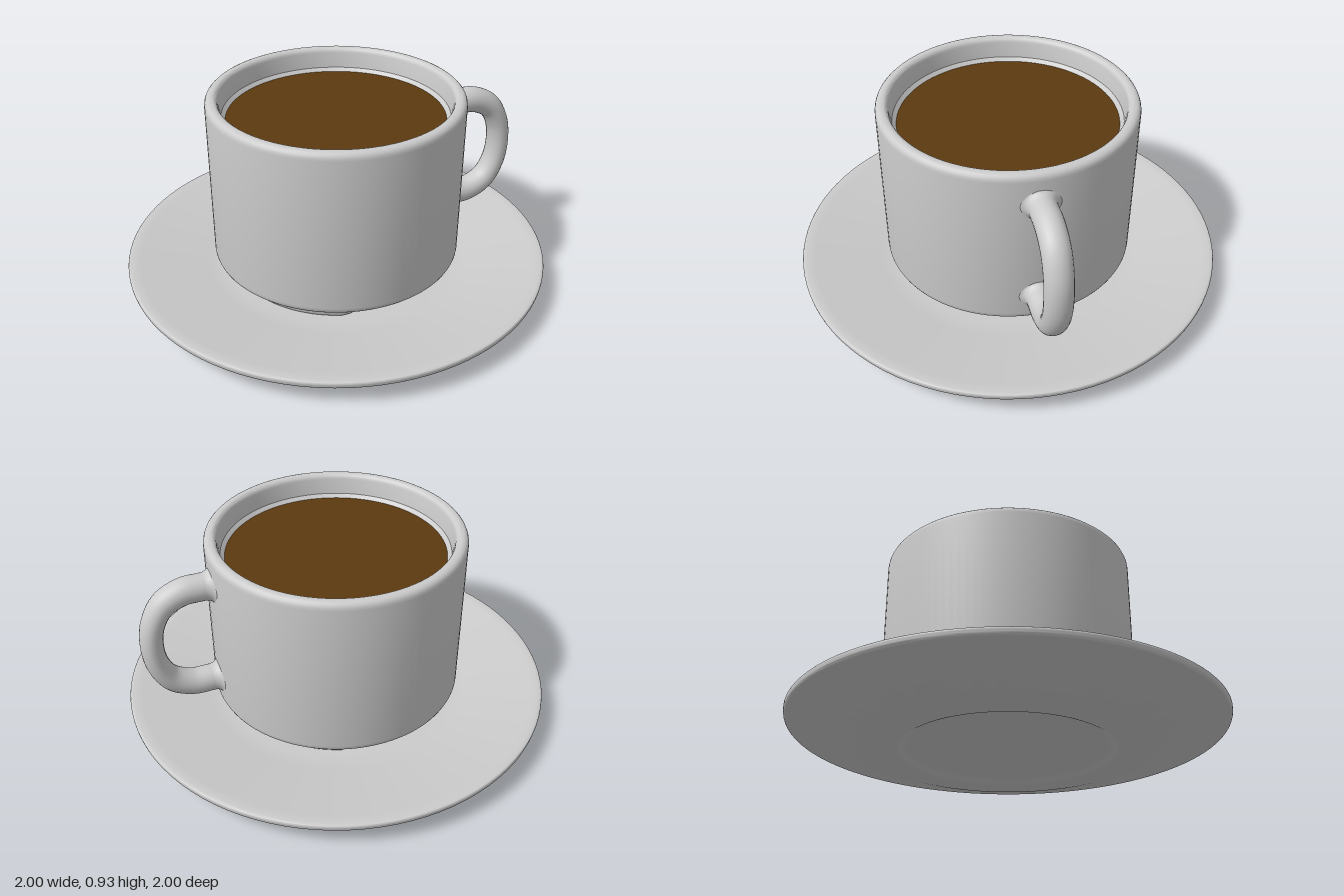
import * as THREE from 'three';
import { toCreasedNormals, mergeVertices } from 'three/addons/utils/BufferGeometryUtils.js';

const grey = new THREE.MeshStandardMaterial({ color: 0xcccccc });
const brown = new THREE.MeshStandardMaterial({ color: 0x5c3a10 });
const SEGMENTS = 96;

// Profile from [radius, y, cornerRounding] points
function roundedProfile(corners, steps = 5) {
  const pts = corners.map(([x, y]) => new THREE.Vector2(x, y));
  const out = [];
  corners.forEach(([, , r = 0], i) => {
    const p = pts[i];
    if (!r) { out.push(p); return; }
    const toward = (q) => p.clone().add(q.clone().sub(p).setLength(r));
    out.push(...new THREE.QuadraticBezierCurve(toward(pts[i - 1]), p, toward(pts[i + 1])).getPoints(steps));
  });
  return out;
}

function lathe(corners) {
  return new THREE.LatheGeometry(roundedProfile(corners), SEGMENTS);
}

function addMesh(group, name, geometry, material = grey) {
  const mesh = new THREE.Mesh(geometry, material);
  mesh.name = name;
  group.add(mesh);
  return mesh;
}

// Saucer: recessed base ring, sloped underside, thin rim, sunken well
function saucerGeometry() {
  return toCreasedNormals(lathe([
    [0, 0.025], [0.46, 0.025, 0.02], [0.5, 0, 0.02], [0.61, 0, 0.025],
    [0.995, 0.1, 0.012], [1, 0.133, 0.014], [0.96, 0.133, 0.02],
    [0.58, 0.068, 0.05], [0, 0.064],
  ]), 0.6);
}

// Cup body: rounded base and rim, small step inside at the drink level
function bodyGeometry() {
  return toCreasedNormals(lathe([
    [0, 0.14], [0.585, 0.14, 0.035], [0.585, 0.932, 0.035], [0.53, 0.932, 0.025],
    [0.516, 0.835], [0.497, 0.815], [0.48, 0.3, 0.08], [0.4, 0.2, 0.06], [0, 0.2],
  ]), 0.6);
}

// Foot ring with four shallow arched notches on the axes
function footGeometry() {
  const g = lathe([[0.43, 0.15], [0.44, 0.066, 0.012], [0.5, 0.066, 0.015], [0.515, 0.15]]);
  const pos = g.attributes.position;
  const quarter = Math.PI / 2;
  for (let i = 0; i < pos.count; i++) {
    const y = pos.getY(i);
    if (y > 0.12) continue;
    const a = Math.atan2(pos.getZ(i), pos.getX(i));
    const off = Math.abs(a - Math.round(a / quarter) * quarter);
    const lift = off < 0.3 ? Math.cos((off / 0.3) * quarter) * 0.042 : 0;
    pos.setY(i, y + lift);
  }
  return toCreasedNormals(g, 0.6);
}

// Handle: bent tube, a little thinner across its outer bend
function handleGeometry() {
  const half = [[0.55, 0.25], [0.63, 0.25], [0.71, 0.246], [0.8, 0.2], [0.852, 0.11]];
  const mid = 0.528;
  const points = [
    ...half.map(([x, d]) => new THREE.Vector3(x, mid + d, 0)),
    new THREE.Vector3(0.868, mid, 0),
    ...half.map(([x, d]) => new THREE.Vector3(x, mid - d, 0)).reverse(),
  ];
  const path = new THREE.CatmullRomCurve3(points);
  const rings = 64, sides = 24;
  const tube = new THREE.TubeGeometry(path, rings, 0.062, sides);
  const pos = tube.attributes.position;
  for (let i = 0; i < pos.count; i++) {
    const c = path.getPointAt(Math.floor(i / (sides + 1)) / rings);
    pos.setX(i, c.x + (pos.getX(i) - c.x) * 0.83);
  }
  tube.deleteAttribute('uv');
  tube.deleteAttribute('normal');
  const g = mergeVertices(tube);
  g.computeVertexNormals();
  return g;
}

// Flare that blends a handle end into the cup wall
function flareGeometry() {
  const curve = new THREE.QuadraticBezierCurve(
    new THREE.Vector2(0.088, 0), new THREE.Vector2(0.063, 0.005), new THREE.Vector2(0.061, 0.045));
  return new THREE.LatheGeometry([new THREE.Vector2(0.088, -0.03), ...curve.getPoints(6)], 32)
    .rotateZ(-Math.PI / 2);
}

export function createModel() {
  const model = new THREE.Group();
  model.name = 'cupAndSaucer';
  addMesh(model, 'saucer', saucerGeometry());

  const cup = new THREE.Group();
  cup.name = 'cup';
  model.add(cup);
  addMesh(cup, 'cupBody', bodyGeometry());
  addMesh(cup, 'cupFoot', footGeometry());
  addMesh(cup, 'handle', handleGeometry());
  for (const [name, y] of [['upperHandleFlare', 0.778], ['lowerHandleFlare', 0.278]]) {
    addMesh(cup, name, flareGeometry()).position.set(0.578, y, 0);
  }

  // Drink surface
  const drink = new THREE.CircleGeometry(0.498, SEGMENTS).rotateX(-Math.PI / 2);
  addMesh(model, 'drink', drink, brown).position.y = 0.82;
  return model;
}
